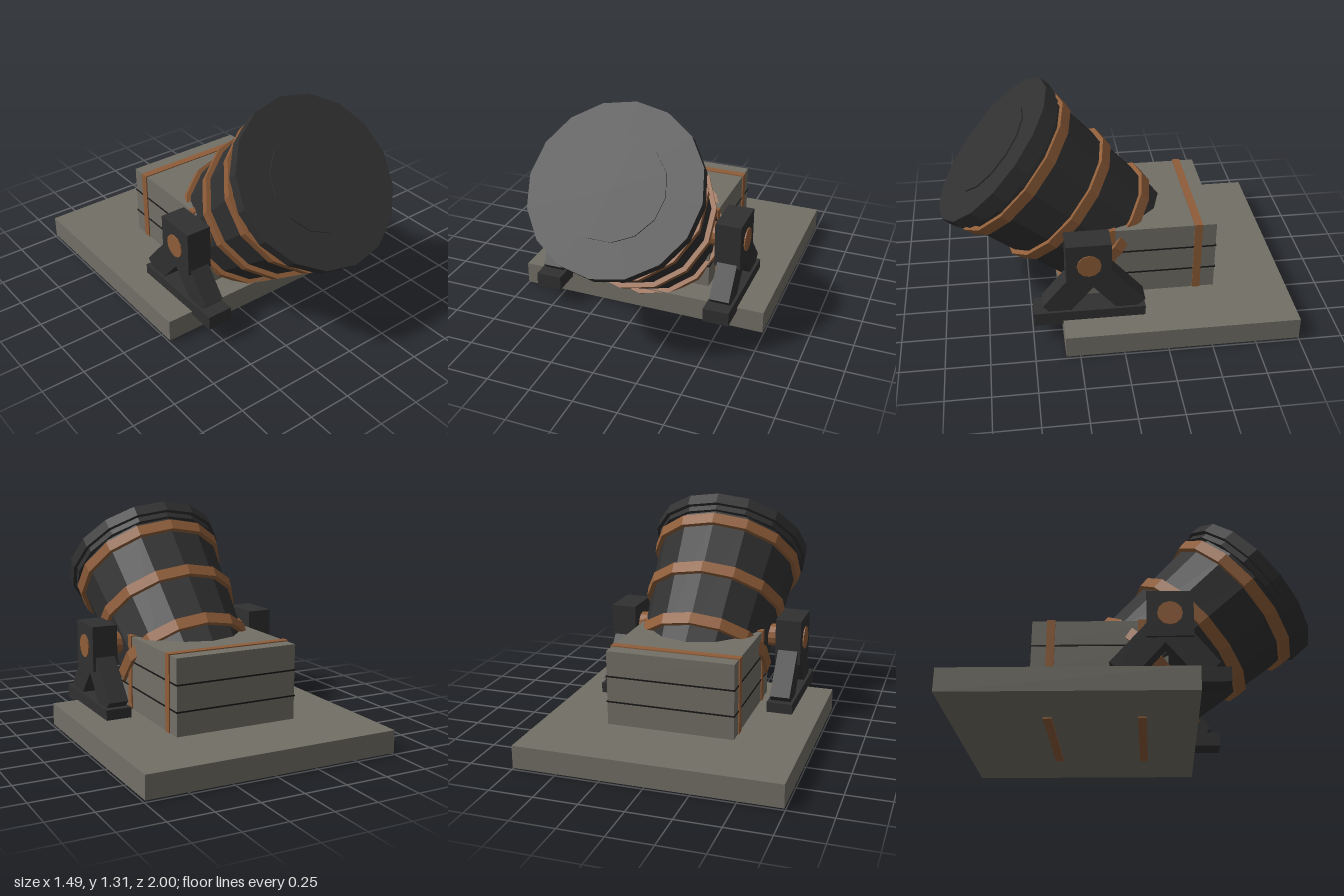
import * as THREE from 'three';

const paint = (name, color) => {
  const m = new THREE.MeshStandardMaterial({ color, flatShading: true });
  m.name = name;
  return m;
};

export function createModel() {
  const stone = paint('weathered wood', 0x726f66);
  const iron = paint('dark iron', 0x303030);
  const copper = paint('copper', 0x8f5d39);
  const seam = paint('black seam', 0x161616);
  const model = new THREE.Group();
  model.name = 'mortar';

  const add = (parent, name, geometry, material) => {
    const mesh = new THREE.Mesh(geometry, material);
    mesh.name = name;
    parent.add(mesh);
    return mesh;
  };
  // Box given by its limits on each axis
  const box = (parent, name, material, [x0, x1], [y0, y1], [z0, z1]) => {
    const g = new THREE.BoxGeometry(x1 - x0, y1 - y0, z1 - z0);
    g.translate((x0 + x1) / 2, (y0 + y1) / 2, (z0 + z1) / 2);
    return add(parent, name, g, material);
  };

  // Ground slab
  box(model, 'slab', stone, [-0.745, 0.745], [0.01, 0.14], [-1, 0.33]);

  // Crate of three stacked planks with dark seams between them
  const crate = new THREE.Group();
  crate.name = 'crate';
  model.add(crate);
  for (const [y0, y1] of [[0.13, 0.273], [0.279, 0.422], [0.428, 0.572]])
    box(crate, 'plank', stone, [-0.367, 0.367], [y0, y1], [-0.575, 0.175]);
  for (const y of [0.276, 0.425])
    box(crate, 'seam', seam, [-0.371, 0.371], [y - 0.004, y + 0.004], [-0.579, 0.179]);

  // Straps wrapped around crate and slab
  for (const z of [-0.47, 0.032])
    box(crate, 'strap', copper, [-0.374, 0.374], [0, 0.578], [z - 0.023, z + 0.023]);

  // Barrel: local y runs along the bore, the muzzle is at y = 0
  const barrel = new THREE.Group();
  barrel.name = 'barrel';
  barrel.position.set(0, 0.95, 0.675);
  barrel.rotation.x = 0.84;
  model.add(barrel);
  const ring = (name, material, rTop, rBottom, top, bottom, sides) => {
    const g = new THREE.CylinderGeometry(rTop, rBottom, top - bottom, sides);
    g.translate(0, (top + bottom) / 2, 0);
    return add(barrel, name, g, material);
  };
  ring('barrelBody', iron, 0.45, 0.365, -0.07, -0.975, 14);
  ring('muzzleRim', iron, 0.487, 0.487, 0, -0.07, 16);
  ring('muzzleCollar', iron, 0.465, 0.465, -0.07, -0.105, 16);
  ring('bore', iron, 0.29, 0.29, 0.008, -0.02, 14).rotation.y = Math.PI / 2;
  ring('frontBand', copper, 0.472, 0.463, -0.135, -0.2, 14);
  ring('middleBand', copper, 0.441, 0.432, -0.465, -0.531, 14);
  ring('rearBand', copper, 0.408, 0.4, -0.8, -0.867, 14);

  // Trunnion shaft through the barrel
  const shaft = new THREE.CylinderGeometry(0.068, 0.068, 1.194, 12);
  shaft.rotateZ(Math.PI / 2).translate(0, 0.508, 0.182);
  add(model, 'trunnion', shaft, copper);

  // Side brackets: bearing block, two splayed legs and a foot
  const legs = {
    frontLeg: [[0.308, 0.4], [0.442, 0.235], [0.4, 0.19], [0.29, 0.19], [0.13, 0.38], [0.18, 0.45]],
    rearLeg: [[0.056, 0.458], [-0.137, 0.238], [-0.09, 0.195], [0.02, 0.19], [0.22, 0.42], [0.18, 0.5]],
  };
  for (const side of [1, -1]) {
    const bracket = new THREE.Group();
    bracket.name = side > 0 ? 'leftBracket' : 'rightBracket';
    model.add(bracket);
    const span = side > 0 ? [0.44, 0.59] : [-0.59, -0.44];
    box(bracket, 'bearingBlock', iron, span, [0.376, 0.64], [0.057, 0.308]);
    box(bracket, 'foot', iron, span, [0.118, 0.2], [-0.137, 0.495]);
    for (const [name, points] of Object.entries(legs)) {
      const shape = new THREE.Shape(points.map(([z, y]) => new THREE.Vector2(z, y)));
      const g = new THREE.ExtrudeGeometry(shape, { depth: 0.116, bevelEnabled: false });
      g.translate(0, 0, -0.058).rotateY(-Math.PI / 2).translate(side * 0.515, 0, 0);
      add(bracket, name, g, iron);
    }
  }
  return model;
}
